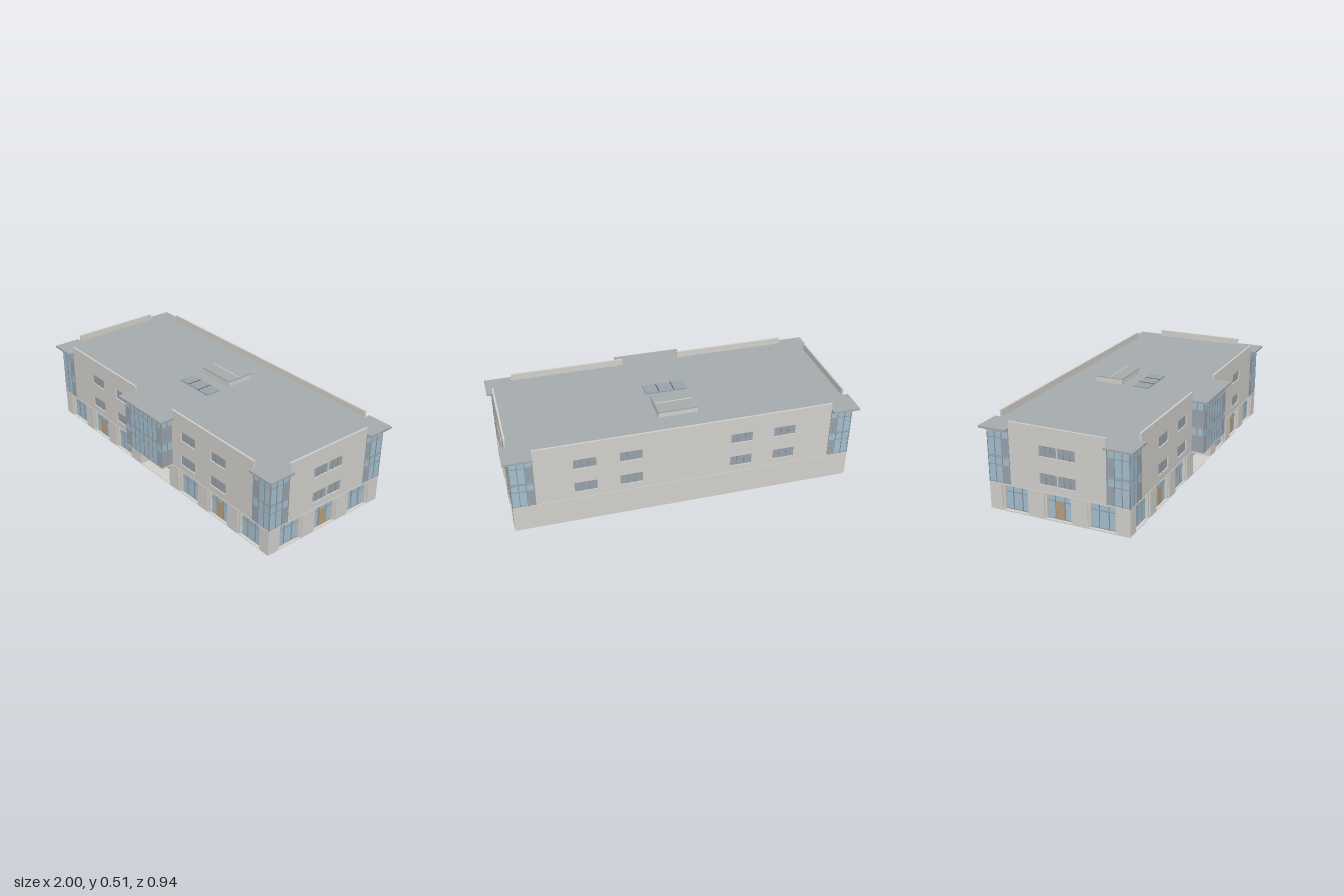
import * as THREE from 'three';

const mat = (color) => new THREE.MeshStandardMaterial({ color, flatShading: true });

export function createModel() {
  const M = {
    wall: mat(0xd3d1cc), roof: mat(0xa6abae), glass: mat(0xa5c0cf), pane: mat(0x9aa3ab),
    bar: mat(0x8b989f), door: mat(0xbb9f80), sign: mat(0xc98d7a), dark: mat(0x55595c),
  };
  const root = new THREE.Group();
  root.name = 'officeBuilding';

  // Box given by its min and max corners
  function box(parent, name, m, x0, x1, y0, y1, z0, z1) {
    const mesh = new THREE.Mesh(new THREE.BoxGeometry(x1 - x0, y1 - y0, z1 - z0), m);
    mesh.position.set((x0 + x1) / 2, (y0 + y1) / 2, (z0 + z1) / 2);
    mesh.name = name;
    parent.add(mesh);
    return mesh;
  }

  // Facade group: local x runs right, y up, z = 0 is the outer face
  function facade(name, angle, distance) {
    const g = new THREE.Group();
    g.name = name;
    g.rotation.y = angle;
    g.position.set(Math.sin(angle) * distance, 0, Math.cos(angle) * distance);
    root.add(g);
    return g;
  }

  // Wall with rectangular openings [u0, u1, v0, v1]
  function wall(g, name, u0, u1, v0, v1, depth, openings) {
    const rect = (S, a, b, c, d) => {
      const s = new S();
      s.moveTo(a, c); s.lineTo(b, c); s.lineTo(b, d); s.lineTo(a, d); s.closePath();
      return s;
    };
    const shape = rect(THREE.Shape, u0, u1, v0, v1);
    openings.forEach((o) => shape.holes.push(rect(THREE.Path, ...o)));
    const geo = new THREE.ExtrudeGeometry(shape, { depth, bevelEnabled: false });
    const mesh = new THREE.Mesh(geo.translate(0, 0, -depth), M.wall);
    mesh.name = name;
    g.add(mesh);
  }

  // Shop front: recessed glass, mullions, side jambs and optional door
  function shopFront(g, u0, u1, z, door, bays = 3) {
    box(g, 'shopGlass', M.glass, u0, u1, 0.008, 0.15, z - 0.006, z);
    for (let i = 0; i <= bays; i++) {
      const u = u0 + ((u1 - u0) * i) / bays;
      box(g, 'shopMullion', M.bar, u - 0.002, u + 0.002, 0.008, 0.15, z, z + 0.004);
    }
    for (const v of [0.01, 0.108, 0.148])
      box(g, 'shopRail', M.bar, u0, u1, v - 0.002, v + 0.002, z, z + 0.004);
    if (door) box(g, 'door', M.door, door[0], door[1], 0.008, 0.108, z, z + 0.006);
  }

  // Upper window: recessed pane with two bars
  function upperWindow(g, [u0, u1, v0, v1]) {
    box(g, 'windowPane', M.pane, u0, u1, v0, v1, -0.012, -0.007);
    for (const t of [0.33, 0.67]) {
      const u = u0 + (u1 - u0) * t;
      box(g, 'windowBar', M.bar, u - 0.0015, u + 0.0015, v0, v1, -0.008, -0.004);
    }
  }

  // Glazed curtain wall; spandrels lists [u0, u1] of the grey panels
  function curtain(g, u0, u1, z, count, spandrels) {
    box(g, 'curtainGlass', M.glass, u0, u1, 0.158, 0.462, z - 0.006, z - 0.002);
    for (let i = 0; i <= count; i++) {
      const u = u0 + 0.002 + ((u1 - u0 - 0.004) * i) / count;
      box(g, 'curtainMullion', M.bar, u - 0.002, u + 0.002, 0.158, 0.462, z - 0.003, z + 0.001);
    }
    for (const v of [0.162, 0.26, 0.303, 0.311, 0.41, 0.458])
      box(g, 'curtainRail', M.bar, u0, u1, v - 0.0015, v + 0.0015, z - 0.003, z + 0.001);
    for (const [a, b] of spandrels)
      for (const v of [0.162, 0.31])
        box(g, 'greyPanel', M.pane, a, b, v, v + 0.1, z - 0.004, z + 0.002);
  }

  const rows = [[0.197, 0.26], [0.35, 0.41]];
  const grid = (spans) => spans.flatMap((s) => rows.map((r) => [...s, ...r]));
  const opening = ([a, b]) => [a - 0.013, b + 0.013, 0.008, 0.151];

  // Plinth and the slab over the ground floor
  box(root, 'plinth', M.wall, -0.965, 0.965, 0, 0.0085, -0.435, 0.365);
  box(root, 'firstFloorSlab', M.wall, -0.967, 0.967, 0.1515, 0.16, -0.437, 0.367);
  box(root, 'baySlab', M.wall, -0.172, 0.172, 0.152, 0.162, 0.36, 0.441);

  // Front facade
  const front = facade('frontFacade', 0, 0.37);
  const shops = [[-0.893, -0.747], [-0.64, -0.495], [-0.387, -0.247], [0.24, 0.385], [0.495, 0.635], [0.745, 0.893]];
  const frontDoors = { 1: [-0.597, -0.543], 4: [0.538, 0.592] };
  const entry = [-0.15, 0.15, 0.008, 0.151];
  wall(front, 'groundWall', -0.97, 0.97, 0.006, 0.156, 0.03, [...shops.map(opening), entry]);
  shops.forEach((s, i) => {
    shopFront(front, s[0] - 0.013, s[1] + 0.013, -0.024, frontDoors[i]);
    for (const u of [s[0] - 0.013, s[1]])
      box(front, 'jamb', M.wall, u, u + 0.013, 0.008, 0.151, -0.028, -0.008);
  });

  // Recessed main entrance
  shopFront(front, -0.15, 0.15, -0.1, [-0.048, 0.046], 6);
  for (const s of [-1, 1])
    box(front, 'entranceSideWall', M.wall, s * 0.1475 - 0.0075, s * 0.1475 + 0.0075, 0.006, 0.153, -0.106, -0.001);
  box(front, 'entranceBeam', M.sign, -0.148, 0.148, 0.139, 0.152, -0.03, -0.002);

  // Upper front walls and the projecting central bay
  const spans = [[-0.63, -0.505], [-0.377, -0.252], [0.252, 0.377], [0.505, 0.63]];
  const frontWindows = grid(spans);
  for (const s of [-1, 1]) {
    const own = frontWindows.filter((o) => o[0] * s > 0);
    wall(front, 'upperWall', s < 0 ? -0.842 : 0.17, s < 0 ? -0.17 : 0.842, 0.16, 0.51, 0.011, own);
    const side = facade('baySide', (s * Math.PI) / 2, 0.17);
    curtain(side, s > 0 ? -0.44 : 0.36, s > 0 ? -0.36 : 0.44, 0, 2,
      [s > 0 ? [-0.441, -0.37] : [0.37, 0.441]]);
  }
  frontWindows.forEach((o) => upperWindow(front, o));
  curtain(front, -0.17, 0.17, 0.07, 8, [[-0.171, -0.126], [0.126, 0.171]]);

  // Back facade
  const back = facade('backFacade', Math.PI, 0.44);
  wall(back, 'groundWall', -0.97, 0.97, 0.006, 0.156, 0.03, []);
  wall(back, 'upperWall', -0.842, 0.842, 0.16, 0.51, 0.011, frontWindows);
  frontWindows.forEach((o) => upperWindow(back, o));

  // Corner glazing on the long facades
  for (const g of [front, back])
    for (const s of [-1, 1])
      curtain(g, s > 0 ? 0.842 : -0.97, s > 0 ? 0.97 : -0.842, 0, 3,
        [s > 0 ? [0.842, 0.885] : [-0.885, -0.842]]);

  // Side facades; along runs toward the back on the right side, mirrored on the left
  for (const s of [1, -1]) {
    const g = facade(s > 0 ? 'rightFacade' : 'leftFacade', (s * Math.PI) / 2, 0.97);
    const m = ([a, b]) => (s > 0 ? [a, b] : [-b, -a]);
    const sideShops = [[-0.285, -0.147], [-0.035, 0.103], [0.217, 0.353]].map(m);
    wall(g, 'groundWall', ...m([-0.37, 0.44]), 0.006, 0.156, 0.03, sideShops.map(opening));
    sideShops.forEach((o, i) => {
      shopFront(g, o[0] - 0.013, o[1] + 0.013, -0.024, i === 1 ? m([0.01, 0.057]) : null);
      for (const u of [o[0] - 0.013, o[1]])
        box(g, 'jamb', M.wall, u, u + 0.013, 0.008, 0.151, -0.028, -0.008);
    });
    const wins = grid([[-0.07, 0.03], [0.036, 0.136]].map(m));
    wall(g, 'upperWall', ...m([-0.242, 0.31]), 0.16, 0.51, 0.011, wins);
    wins.forEach((o) => upperWindow(g, o));
    curtain(g, ...m([-0.37, -0.242]), 0, 3, [m([-0.285, -0.242])]);
    curtain(g, ...m([0.31, 0.44]), 0, 3, [m([0.31, 0.353])]);
  }

  // Roof slab with overhanging corners and entrance canopy
  const half = [[0.2, 0.465], [0.2, 0.36], [0.842, 0.36], [0.842, 0.4], [1, 0.4], [1, 0.24], [0.96, 0.24],
    [0.96, -0.31], [1, -0.31], [1, -0.47], [0.842, -0.47], [0.842, -0.43]];
  const outline = [...half, ...half.slice().reverse().map(([x, z]) => [-x, z])];
  const roofShape = new THREE.Shape(outline.map(([x, z]) => new THREE.Vector2(x, -z)));
  const roofGeo = new THREE.ExtrudeGeometry(roofShape, { depth: 0.012, bevelEnabled: false });
  const roof = new THREE.Mesh(roofGeo.rotateX(-Math.PI / 2).translate(0, 0.46, 0), M.roof);
  roof.name = 'roof';
  root.add(roof);

  // Rooftop plant housing with a rim and centre strip
  box(root, 'roofHousing', M.wall, -0.115, 0.112, 0.47, 0.504, -0.257, -0.088);
  box(root, 'housingTop', M.roof, -0.12, 0.115, 0.502, 0.508, -0.262, -0.085);
  box(root, 'housingStrip', M.wall, -0.115, 0.112, 0.507, 0.51, -0.168, -0.162);

  // Flat skylight
  box(root, 'skylight', M.pane, -0.124, 0.12, 0.474, 0.481, -0.08 + 0.07, 0.08);
  for (const x of [-0.047, 0.041])
    box(root, 'skylightBar', M.dark, x - 0.002, x + 0.002, 0.474, 0.483, -0.01, 0.08);

  return root;
}
